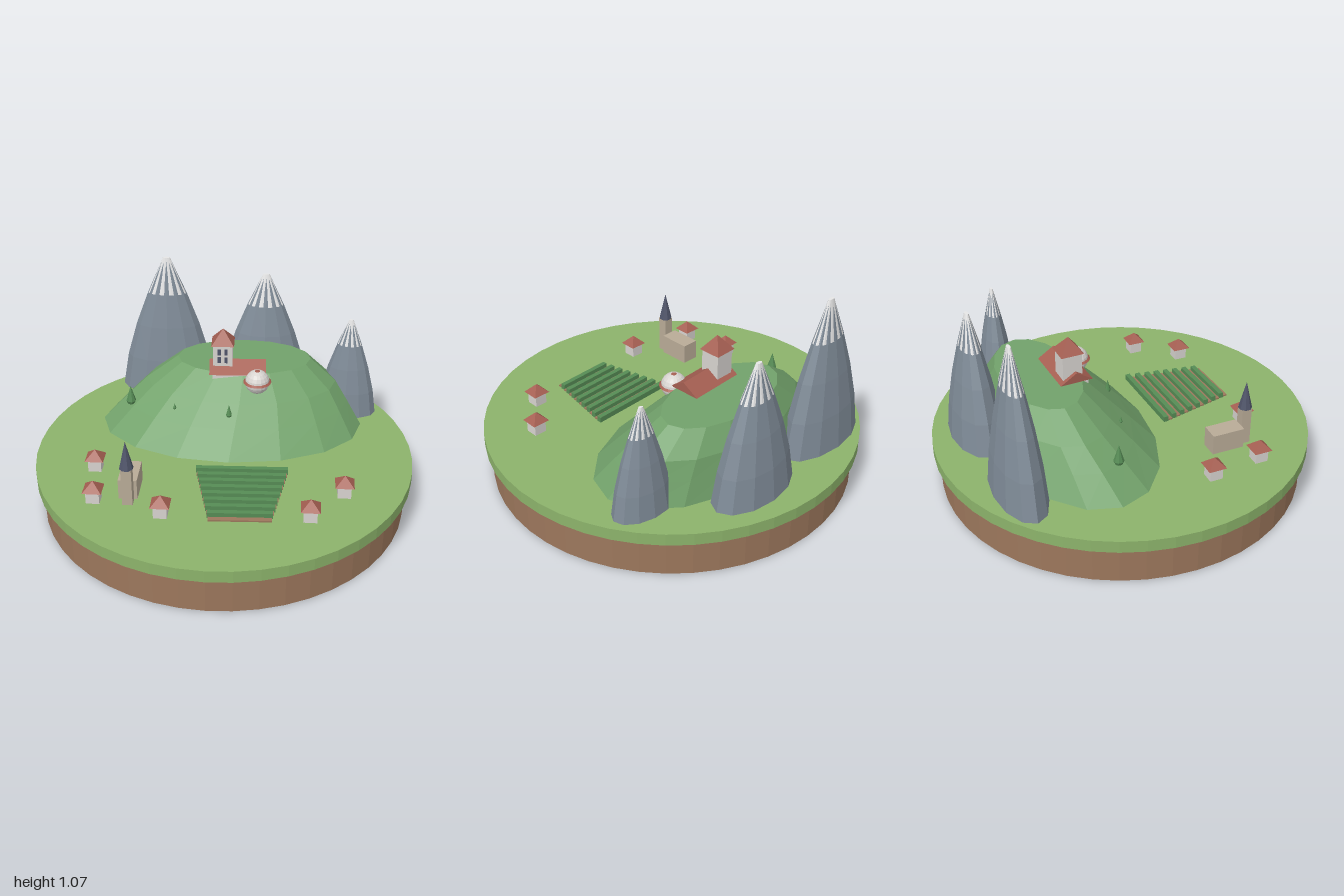
import * as THREE from 'three';

const paint = (name, color) => {
  const m = new THREE.MeshStandardMaterial({ color, flatShading: true });
  m.name = name;
  return m;
};
const V = (x, y) => new THREE.Vector2(x, y);
const GROUND = 0.265;

export function createModel() {
  const model = new THREE.Group();
  model.name = 'islandVillage';

  const grass = paint('grass', 0x8cb36b);
  const hillGreen = paint('hillGreen', 0x72a26b);
  const soil = paint('soil', 0x9c775c);
  const tile = paint('roofTile', 0xa55f52);
  const rock = paint('rock', 0x7f8b97);
  const snow = paint('snow', 0xe6e6e6);
  const wall = paint('whitewash', 0xd8d4d0);
  const stone = paint('stone', 0xb9ab97);
  const slate = paint('slate', 0x50556a);
  const leaf = paint('leaf', 0x568c55);

  const add = (parent, name, geo, mat, x = 0, y = 0, z = 0, turn = 0) => {
    const mesh = new THREE.Mesh(geo, mat);
    mesh.name = name;
    mesh.position.set(x, y, z);
    mesh.rotation.y = turn;
    parent.add(mesh);
    return mesh;
  };
  const group = (name, x, y, z, turn) => {
    const g = new THREE.Group();
    g.name = name;
    g.position.set(x, y, z);
    g.rotation.y = turn;
    model.add(g);
    return g;
  };
  // Box standing on y
  const block = (parent, name, mat, w, h, d, x, y, z, turn = 0) =>
    add(parent, name, new THREE.BoxGeometry(w, h, d), mat, x, y + h / 2, z, turn);
  // Four-sided roof with square eaves
  const pyramid = (parent, name, side, h, x, y, z) => {
    const geo = new THREE.ConeGeometry(side / Math.SQRT2, h, 4);
    geo.rotateY(Math.PI / 4);
    return add(parent, name, geo, tile, x, y + h / 2, z);
  };

  // Round base
  add(model, 'soilBase', new THREE.CylinderGeometry(0.97, 0.97, 0.2, 48), soil, 0, 0.1, 0);
  add(model, 'grassDisc', new THREE.CylinderGeometry(1, 1, 0.065, 48), grass, 0, 0.2325, 0);

  // Hill lofted through leaning elliptical rings: y, centre x, centre z, half length, half width
  const rings = [
    [GROUND, 0.13, -0.275, 0.72, 0.425],
    [0.39, 0.17, -0.31, 0.615, 0.35],
    [0.49, 0.205, -0.34, 0.525, 0.29],
    [0.61, 0.23, -0.365, 0.368, 0.202],
  ];
  const sides = 16, pos = [], index = [];
  const c = Math.cos(0.35), s = Math.sin(0.35);
  for (const [y, cx, cz, a, b] of rings) {
    for (let i = 0; i < sides; i++) {
      const t = (i / sides) * Math.PI * 2;
      const u = a * Math.cos(t), v = b * Math.sin(t);
      pos.push(cx + u * c - v * s, y, cz + u * s + v * c);
    }
  }
  for (let r = 0; r < rings.length - 1; r++) {
    for (let i = 0; i < sides; i++) {
      const j = (i + 1) % sides, p = r * sides, q = p + sides;
      index.push(p + i, q + i, p + j, p + j, q + i, q + j);
    }
  }
  const top = (rings.length - 1) * sides;
  for (let i = 1; i < sides - 1; i++) index.push(top, top + i + 1, top + i);
  const hill = new THREE.BufferGeometry();
  hill.setAttribute('position', new THREE.Float32BufferAttribute(pos, 3));
  hill.setIndex(index);
  hill.computeVertexNormals();
  add(model, 'hill', hill, hillGreen);

  // Mountains: x, z, height, half length, half width, turn
  const slope = [V(1, 0), V(0.87, 0.25), V(0.66, 0.5), V(0.4, 0.74), V(0.07, 1), V(0, 1)];
  const cap = [V(0.4, 0.74), V(0.235, 0.87), V(0.072, 1.002), V(0, 1.002)];
  const peaks = [
    [-0.093, -0.79, 0.805, 0.275, 0.126, -0.35],
    [0.443, -0.623, 0.705, 0.258, 0.137, -0.35],
    [0.79, -0.203, 0.565, 0.168, 0.1, -0.48],
  ];
  for (const [x, z, h, a, b, turn] of peaks) {
    const m = group('mountain', x, GROUND, z, turn);
    m.scale.set(a, h, b);
    add(m, 'mountainRock', new THREE.LatheGeometry(slope, 12), rock);
    // Offset facets let the snow break through in streaks
    add(m, 'mountainSnow', new THREE.LatheGeometry(cap, 12, Math.PI / 12), snow);
  }

  // Hilltop manor
  const manor = group('manor', 0.154, 0, -0.245, -0.33);
  block(manor, 'manorWalls', wall, 0.27, 0.065, 0.14, 0, 0.555, 0);
  const gable = new THREE.Shape([V(-0.088, 0), V(0.088, 0), V(0, 0.055)]);
  const gableGeo = new THREE.ExtrudeGeometry(gable, { depth: 0.305, bevelEnabled: false });
  gableGeo.translate(0, 0, -0.1525).rotateY(Math.PI / 2);
  add(manor, 'manorRoof', gableGeo, tile, 0, 0.615, 0);

  // Manor tower with four windows
  const tower = group('manorTower', 0.082, 0, -0.283, -0.35);
  block(tower, 'towerWalls', wall, 0.104, 0.2, 0.104, 0, 0.57, 0);
  pyramid(tower, 'towerRoof', 0.122, 0.08, 0, 0.765, 0);
  for (const x of [-0.018, 0.018])
    for (const y of [0.665, 0.712])
      block(tower, 'towerWindow', slate, 0.018, 0.034, 0.006, x, y, 0.053);

  // Round bay with a brimmed dome
  const bay = group('roundBay', 0.22, 0.59, -0.11, 0);
  add(bay, 'bayWall', new THREE.SphereGeometry(0.066, 16, 10), wall);
  add(bay, 'bayBrim', new THREE.CylinderGeometry(0.05, 0.076, 0.02, 16), tile, 0, 0.01, 0);
  add(bay, 'bayDome', new THREE.SphereGeometry(0.05, 16, 6, 0, Math.PI * 2, 0, Math.PI / 2), tile, 0, 0.016, 0);

  // Village cottages
  for (const [x, z] of [[-0.69, -0.035], [-0.755, 0.238], [-0.466, 0.455], [0.22, 0.703], [0.455, 0.568]]) {
    const cottage = group('cottage', x, GROUND, z, -0.38);
    block(cottage, 'cottageWalls', wall, 0.068, 0.07, 0.068, 0, 0, 0);
    pyramid(cottage, 'cottageRoof', 0.096, 0.048, 0, 0.067, 0);
  }

  // Church with a spired tower
  block(model, 'churchNave', stone, 0.095, 0.11, 0.175, -0.558, GROUND, 0.2, -0.38);
  block(model, 'churchTower', stone, 0.052, 0.205, 0.052, -0.595, GROUND, 0.307, -0.38);
  add(model, 'churchSpire', new THREE.ConeGeometry(0.036, 0.152, 8), slate, -0.595, 0.546, 0.307);

  // Field: crop rows alternating with furrows, narrowing toward the front
  const strip = (name, mat, t, h) => {
    const x0 = -0.2 - 0.055 * t, z0 = 0.15 + 0.385 * t;
    const x1 = 0.25 - 0.2 * t, z1 = 0.31 + 0.33 * t;
    block(model, name, mat, Math.hypot(x1 - x0, z1 - z0), h, 0.026,
      (x0 + x1) / 2, GROUND, (z0 + z1) / 2, -Math.atan2(z1 - z0, x1 - x0));
  };
  for (let i = 0; i < 8; i++) {
    strip('cropRow', leaf, i / 7, 0.03);
    strip('furrow', soil, (i + 0.5) / 7, 0.008);
  }

  // Teardrop trees: x, bottom, z, height, radius
  const drop = [V(0, 0), V(0.75, 0.1), V(1, 0.24), V(0.65, 0.5), V(0.25, 0.8), V(0, 1)];
  for (const [x, y, z, h, r] of [
    [-0.41, 0.385, -0.415, 0.12, 0.027],
    [-0.215, 0.438, -0.208, 0.038, 0.009],
    [0.042, 0.43, -0.05, 0.08, 0.016],
  ]) add(model, 'tree', new THREE.LatheGeometry(drop, 8), leaf, x, y, z).scale.set(r, h, r);

  return model;
}
